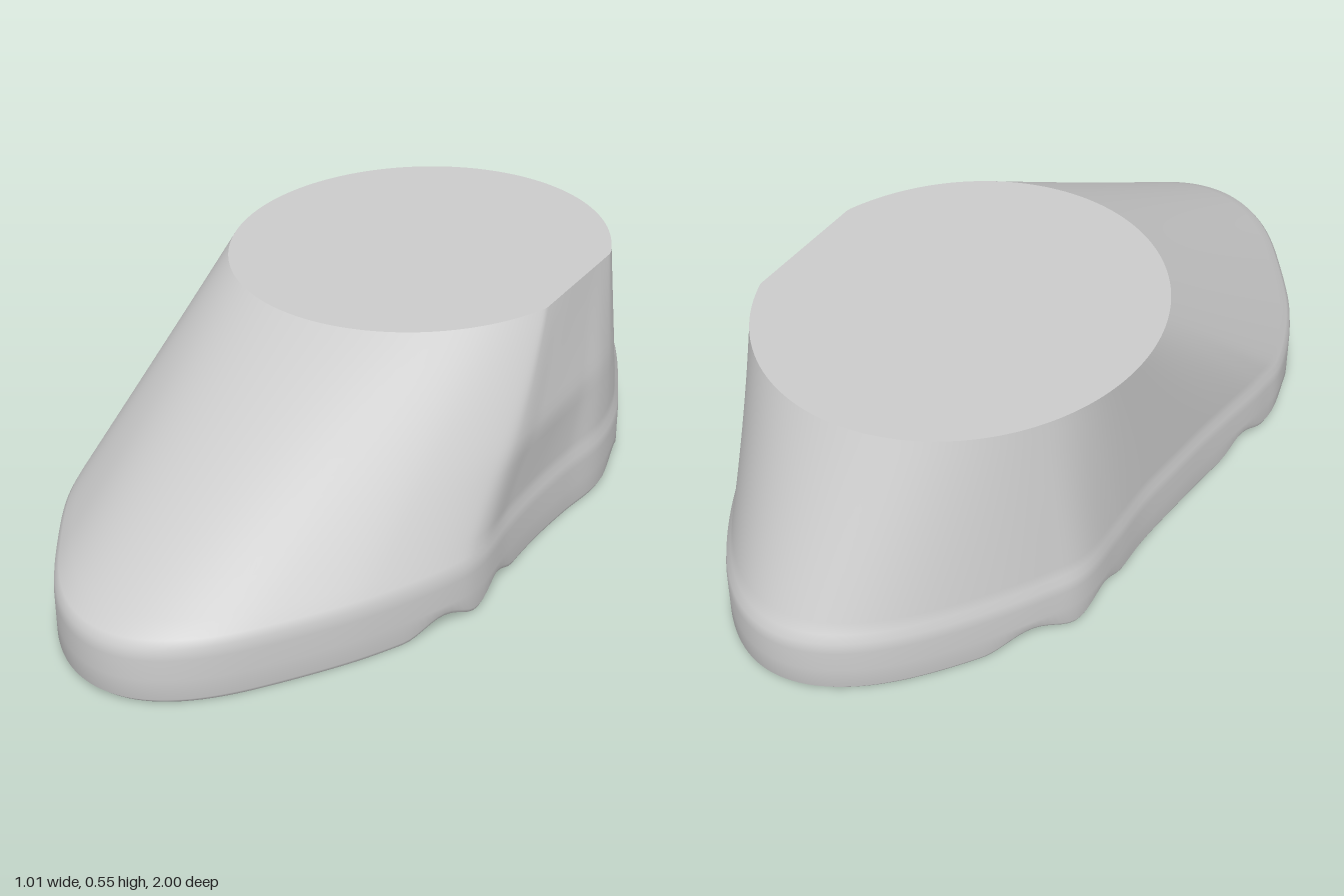
import * as THREE from 'three';

const N = 320; // points around the outline, angle 0 = front tip, then towards +x
const TOP = 0.545;
const material = new THREE.MeshStandardMaterial({ color: 0xcccccc });

// Width of the sole relative to a unit circle, as [z, ratio], for each side
const rightSide = [[-1, 0.45], [-0.8, 0.465], [-0.6, 0.49], [-0.45, 0.515], [-0.3, 0.515],
  [-0.15, 0.487], [0, 0.478], [0.15, 0.492], [0.3, 0.528], [0.4, 0.53], [0.6, 0.5], [0.8, 0.46], [1, 0.45]];
const leftSide = [[-1, 0.47], [-0.8, 0.49], [-0.6, 0.525], [-0.5, 0.538], [-0.35, 0.497],
  [-0.2, 0.47], [0, 0.472], [0.15, 0.492], [0.3, 0.527], [0.4, 0.545], [0.6, 0.53], [0.8, 0.485], [1, 0.47]];

const toCurve = (pts) => new THREE.SplineCurve(pts.map(([z, r]) => new THREE.Vector2(z, r))).getPoints(200);
const curves = [toCurve(rightSide), toCurve(leftSide)];

function widthAt(curve, z) {
  let i = 1;
  while (i < curve.length - 1 && curve[i].x < z) i++;
  const a = curve[i - 1], b = curve[i];
  return THREE.MathUtils.lerp(a.y, b.y, THREE.MathUtils.clamp((z - a.x) / (b.x - a.x), 0, 1));
}

// Height of the underside: four rounded grooves running across
function groove(z) {
  let y = 0;
  for (const c of [0.42, 0.215, -0.42, -0.625]) {
    const d = Math.abs(z - c);
    if (d < 0.105) y += 0.032 * Math.cos((Math.PI * d) / 0.21) ** 2;
  }
  return y;
}

// Sole outline, with a waist on both sides
function soleRing(scale, heightAt) {
  return Array.from({ length: N }, (_, i) => {
    const a = (i / N) * Math.PI * 2;
    const z = Math.cos(a), s = Math.sin(a);
    return new THREE.Vector3(s * widthAt(curves[s >= 0 ? 0 : 1], z) * scale, heightAt(z), z * scale);
  });
}

// Oval opening, flattened on the +x side
function topRing() {
  return Array.from({ length: N }, (_, i) => {
    const a = (i / N) * Math.PI * 2;
    const z = -0.268 + 0.497 * Math.cos(a);
    const flat = 0.417 + 0.03 * (z + 0.28);
    return new THREE.Vector3(Math.min(-0.005 + 0.45 * Math.sin(a), flat), TOP, z);
  });
}

function makeMesh(name, points, index) {
  const g = new THREE.BufferGeometry().setFromPoints(points);
  g.setIndex(index);
  g.computeVertexNormals();
  const mesh = new THREE.Mesh(g, material);
  mesh.name = name;
  return mesh;
}

function loft(name, rings) {
  const index = [];
  for (let j = 0; j < rings.length - 1; j++) {
    for (let i = 0; i < N; i++) {
      const k = (i + 1) % N;
      const a = j * N + i, b = j * N + k, c = a + N, d = b + N;
      index.push(a, b, c, b, d, c);
    }
  }
  return makeMesh(name, rings.flat(), index);
}

export function createModel() {
  const group = new THREE.Group();
  group.name = 'shoe';

  const bottom = soleRing(0.988, groove);
  const shoulder = soleRing(0.982, () => 0.15);
  const top = topRing();

  // Upper: straight lines from the shoulder to the opening, fuller at the +x waist
  const upper = [];
  const steps = 16;
  for (let j = 1; j <= steps; j++) {
    const t = j / steps;
    const tent = t < 0.4 ? t / 0.4 : (1 - t) / 0.6;
    upper.push(shoulder.map((p, i) => {
      const q = p.clone().lerp(top[i], t);
      if (q.x > 0) q.x += 0.028 * tent * Math.exp(-(((q.z + 0.08) / 0.25) ** 2));
      return q;
    }));
  }

  group.add(loft('sideWall', [
    bottom,
    soleRing(1, (z) => groove(z) + 0.012),
    soleRing(1, () => 0.06),
    soleRing(1, () => 0.11),
    soleRing(0.996, () => 0.135),
    shoulder,
    ...upper,
  ]));

  // Flat lid over the opening
  const lid = [];
  for (let i = 0; i < N; i++) lid.push(N, i, (i + 1) % N);
  group.add(makeMesh('topFace', [...top, new THREE.Vector3(0, TOP, -0.268)], lid));

  // Underside in strips across the foot
  const sole = [];
  for (let i = 0; i < N / 2; i++) {
    const r = i, l = (N - i) % N, r2 = i + 1, l2 = N - i - 1;
    if (i > 0) sole.push(r, l, r2);
    if (i < N / 2 - 1) sole.push(l, l2, r2);
  }
  group.add(makeMesh('groovedSole', bottom, sole));

  return group;
}
